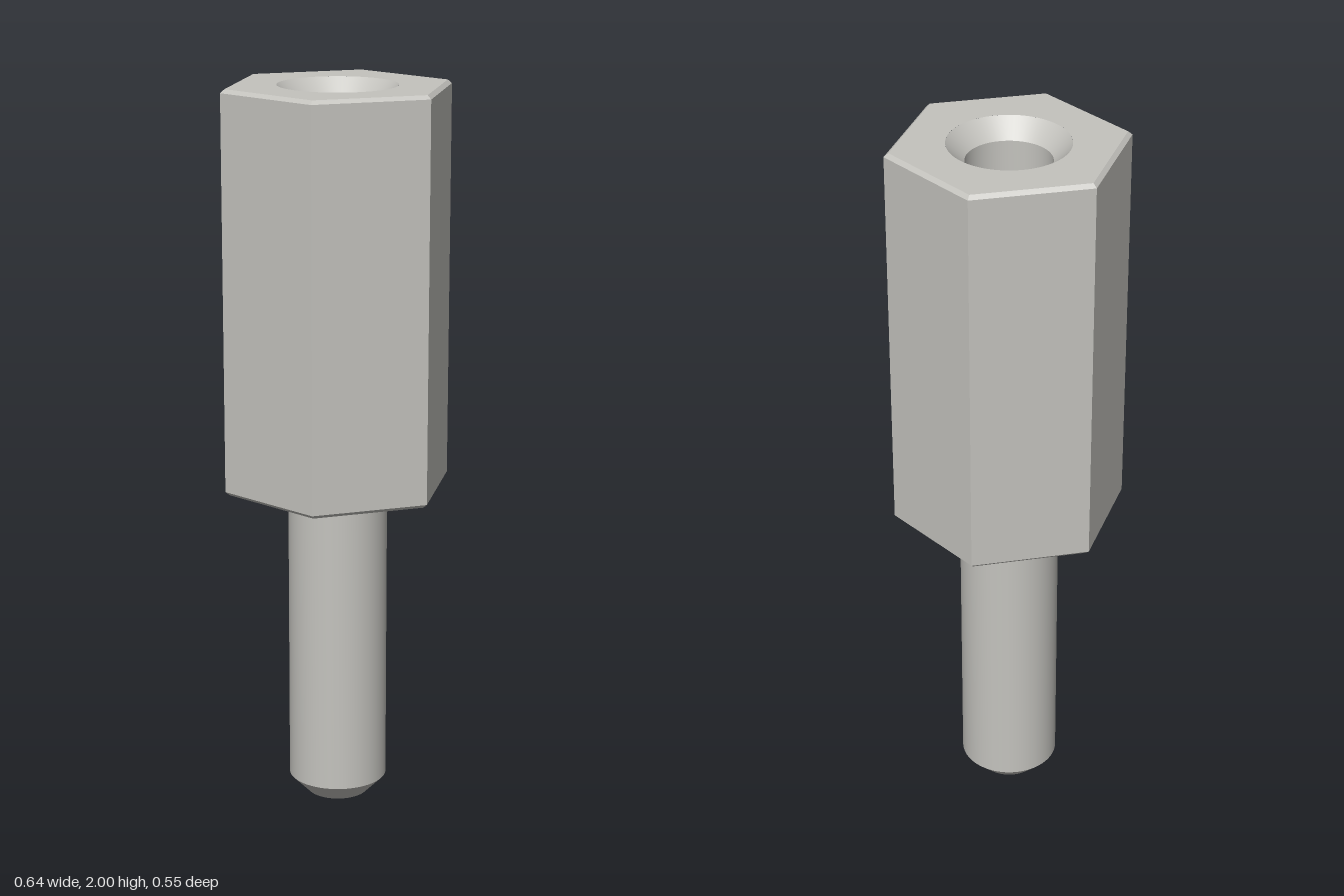
import * as THREE from 'three';
import { toCreasedNormals } from 'three/addons/utils/BufferGeometryUtils.js';

const HEX_RADIUS = 0.32, CHAMFER = 0.012;
const TOP = 2, SHOULDER = 0.9;
const RIM_RADIUS = 0.161, BORE_RADIUS = 0.113, BORE_FLOOR = 1.3;

const steel = new THREE.MeshStandardMaterial({ color: 0xc4c3be });
steel.name = 'steel';

function addPart(group, name, geometry) {
  const mesh = new THREE.Mesh(geometry, steel);
  mesh.name = name;
  group.add(mesh);
}

// Turned profile of [radius, y] pairs with crisp edges
function turned(profile, segments, start = 0) {
  const points = profile.map(([r, y]) => new THREE.Vector2(r, y));
  return toCreasedNormals(new THREE.LatheGeometry(points, segments, start), Math.PI / 7);
}

export function createModel() {
  const group = new THREE.Group();
  group.name = 'hexStandoff';
  const faceRadius = HEX_RADIUS - CHAMFER;

  // Six-sided body with chamfered ends, corners on the x axis
  addPart(group, 'hexBody', turned([
    [0, SHOULDER],
    [faceRadius, SHOULDER],
    [HEX_RADIUS, SHOULDER + 0.01],
    [HEX_RADIUS, TOP - 0.01],
    [faceRadius, TOP],
  ], 6, Math.PI / 6));

  // Hexagonal top face around the round opening
  const face = new THREE.Shape();
  for (let i = 0; i < 6; i++) {
    const a = i * Math.PI / 3, x = faceRadius * Math.cos(a), y = faceRadius * Math.sin(a);
    if (i === 0) face.moveTo(x, y); else face.lineTo(x, y);
  }
  face.closePath();
  face.holes.push(new THREE.Path().absarc(0, 0, RIM_RADIUS, 0, Math.PI * 2, true));
  const faceGeometry = new THREE.ShapeGeometry(face, 64);
  faceGeometry.rotateX(-Math.PI / 2).translate(0, TOP, 0);
  addPart(group, 'topFace', faceGeometry);

  // Countersunk blind hole, facing inward
  addPart(group, 'bore', turned([
    [RIM_RADIUS, TOP],
    [BORE_RADIUS, TOP - 0.05],
    [BORE_RADIUS, BORE_FLOOR],
    [0, BORE_FLOOR],
  ], 64));

  // Round stud with chamfered tip
  addPart(group, 'stud', turned([
    [0, 0],
    [0.085, 0],
    [0.136, 0.052],
    [0.136, SHOULDER],
  ], 64));

  return group;
}
